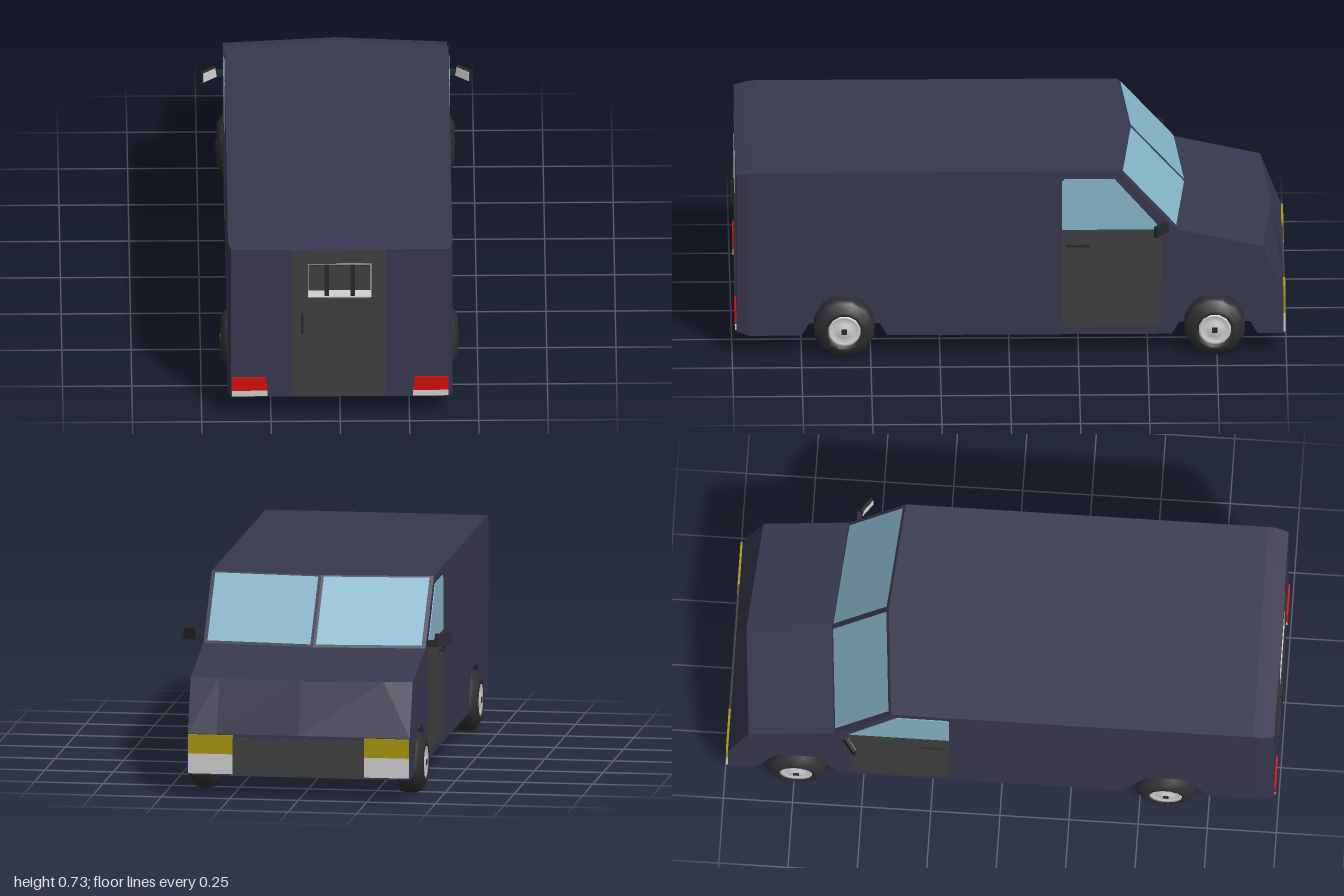
import * as THREE from 'three';

const mat = (name, color) => {
  const m = new THREE.MeshStandardMaterial({ color });
  m.name = name;
  return m;
};

// Closed outline from [a, b] pairs
const outline = (pts) => new THREE.Shape(pts.map(([a, b]) => new THREE.Vector2(a, b)));

const rect = (x0, y0, x1, y1) => [[x0, y0], [x1, y0], [x1, y1], [x0, y1]];

// Outline in x, y pushed along z from z0 to z1
function slabZ(pts, z0, z1, hole, steps = 1) {
  const s = outline(pts);
  if (hole) s.holes.push(outline(hole));
  const g = new THREE.ExtrudeGeometry(s, { depth: z1 - z0, bevelEnabled: false, steps });
  return g.translate(0, 0, z0);
}

// Outline in z, y pushed along x from x0 to x1
function slabX(pts, x0, x1, steps = 1) {
  const g = slabZ(pts.map(([z, y]) => [-z, y]), 0, x1 - x0, null, steps);
  return g.rotateY(Math.PI / 2).translate(x0, 0, 0);
}

function box(x0, x1, y0, y1, z0, z1) {
  return new THREE.BoxGeometry(x1 - x0, y1 - y0, z1 - z0)
    .translate((x0 + x1) / 2, (y0 + y1) / 2, (z0 + z1) / 2);
}

// Reshape a geometry by a rule on each vertex, then refresh the normals
function reshape(g, rule) {
  const p = g.attributes.position, v = new THREE.Vector3();
  for (let i = 0; i < p.count; i++) {
    rule(v.fromBufferAttribute(p, i));
    p.setXYZ(i, v.x, v.y, v.z);
  }
  g.computeVertexNormals();
  return g;
}

// Mirrored copy across x = 0 with the corner order restored
function mirrored(geo) {
  const g = geo.index ? geo.toNonIndexed() : geo.clone();
  g.scale(-1, 1, 1);
  for (const key of ['position', 'normal']) {
    const a = g.attributes[key], p = new THREE.Vector3(), q = new THREE.Vector3();
    for (let i = 0; i < a.count; i += 3) {
      p.fromBufferAttribute(a, i);
      q.fromBufferAttribute(a, i + 2);
      a.setXYZ(i, q.x, q.y, q.z);
      a.setXYZ(i + 2, p.x, p.y, p.z);
    }
  }
  return g;
}

export function createModel() {
  const van = new THREE.Group();
  van.name = 'van';
  const navy = mat('navy paint', 0x38384f);
  const grey = mat('door grey', 0x404041);
  const black = mat('trim black', 0x28282a);
  const tyreMat = mat('tyre rubber', 0x2e2e30);
  const glass = mat('window glass', 0x86b5ca);
  const red = mat('tail light red', 0xd40e0e);
  const yellow = mat('indicator yellow', 0xa8960a);
  const white = mat('light grey', 0xd0d0d0);

  const add = (name, g, m) => {
    const mesh = new THREE.Mesh(g, m);
    mesh.name = name;
    van.add(mesh);
  };
  const addPair = (name, g, m) => {
    add(name + 'Left', g, m);
    add(name + 'Right', mirrored(g), m);
  };

  // Body: solid core plus side slabs with wheel arches; front swept to a shallow V
  const W = 0.405, B = 0.085;
  const upper = [[-0.99, B], [-0.99, 0.235], [-0.915, 0.43], [-0.605, 0.5],
    [-0.4, 0.73], [0.91, 0.73], [0.94, 0.726]];
  const arch = (z) => [[z + 0.155, B], [z + 0.07, 0.235], [z - 0.07, 0.235], [z - 0.155, B]];
  const axles = [0.595, -0.742];
  const sweep = (v) => {
    if (v.z < -0.35 && v.y > 0.4) v.z -= 0.035 * (1 - Math.abs(v.x) / W);
  };
  add('bodyCore', reshape(slabX([[0.94, B], ...upper], -0.3, 0.3, 2), sweep), navy);
  const sidePts = [[0.94, B], ...arch(axles[0]), ...arch(axles[1]), ...upper];
  addPair('bodySide', reshape(slabX(sidePts, 0.3, W), sweep), navy);

  // Rear wall with bevelled rim and window opening
  const opening = rect(-0.117, 0.518, 0.112, 0.66);
  add('rearWall', reshape(slabZ(rect(-W, B, W, 0.726), 0.94, 0.985, opening), (v) => {
    if (v.z < 0.98) return;
    if (Math.abs(v.x) > 0.4) v.x *= 0.972;
    if (v.y < 0.1) v.y = 0.097;
    if (v.y > 0.7) v.y = 0.718;
  }), navy);

  // Rear door, barred window and handle
  const door = [[-0.155, 0.1], [0.15, 0.1], [0.162, 0.108], [0.167, 0.125],
    [0.167, 0.717], [-0.173, 0.717], [-0.173, 0.125], [-0.167, 0.108]];
  add('rearDoor', slabZ(door, 0.984, 0.988, opening), grey);
  add('rearWindowLining',
    slabZ(opening, 0.942, 0.989, rect(-0.114, 0.521, 0.109, 0.657)), white);
  add('rearWindowBack', box(-0.117, 0.112, 0.518, 0.66, 0.938, 0.944), grey);
  for (const x of [-0.049, 0.045]) {
    add('windowBar', box(x - 0.008, x + 0.008, 0.519, 0.659, 0.968, 0.984), black);
  }
  add('rearHandleGrip', box(-0.141, -0.132, 0.37, 0.455, 0.994, 1.0), black);
  for (const y of [0.37, 0.447]) {
    add('rearHandlePost', box(-0.141, -0.132, y, y + 0.008, 0.986, 0.996), black);
  }

  // Tail lights
  addPair('tailLight',
    slabZ([[0.262, 0.126], [0.39, 0.126], [0.39, 0.18], [0.27, 0.18]], 0.984, 0.991), red);
  addPair('reverseLight', box(0.262, 0.39, 0.102, 0.126, 0.984, 0.99), white);

  // Nose: indicators, headlights and grille
  addPair('indicator', box(0.24, 0.402, 0.163, 0.232, -0.998, -0.989), yellow);
  addPair('headlight', box(0.24, 0.402, 0.09, 0.163, -0.998, -0.989), white);
  add('grille', box(-0.24, 0.24, 0.09, 0.222, -0.995, -0.989), grey);

  // Split windscreen on the swept front
  const onScreen = (u, t) => [W * u, 0.73 - 0.23 * t + 0.003,
    -0.435 + 0.035 * u - 0.205 * t - 0.003];
  const pane = new THREE.BufferGeometry();
  const [a, b, c, d] = [[0.025, 0.03], [0.965, 0.03], [0.965, 0.97], [0.025, 0.97]]
    .map(([u, t]) => onScreen(u, t));
  pane.setAttribute('position',
    new THREE.Float32BufferAttribute([a, b, c, a, c, d].flat(), 3));
  pane.computeVertexNormals();
  addPair('windscreen', pane, glass);

  // Cab doors, side windows and door handles
  addPair('cabDoor', slabX([[-0.19, 0.13], [-0.205, 0.115], [-0.53, 0.115], [-0.543, 0.13],
    [-0.555, 0.497], [-0.19, 0.497]], 0.404, 0.407), grey);
  addPair('sideWindow', slabX([[-0.19, 0.5], [-0.55, 0.5], [-0.38, 0.7], [-0.2, 0.7],
    [-0.19, 0.69]], 0.404, 0.408), glass);
  addPair('doorHandleGrip', box(0.415, 0.421, 0.436, 0.444, -0.29, -0.205), black);
  for (const z of [-0.29, -0.213]) {
    addPair('doorHandlePost', box(0.404, 0.418, 0.436, 0.444, z, z + 0.008), black);
  }

  // Wing mirrors, angled back and outward
  const place = (g) => g.rotateY(-0.63).translate(0.43, 0, -0.565);
  const head = [[0, 0.503], [0.068, 0.5], [0.068, 0.543], [0.008, 0.547]];
  addPair('mirrorArm', box(0.4, 0.44, 0.502, 0.524, -0.577, -0.563), black);
  addPair('mirrorHead', place(slabZ(head, -0.008, 0.004)), black);
  addPair('mirrorGlass', place(slabZ(
    [[0.004, 0.506], [0.064, 0.503], [0.064, 0.54], [0.011, 0.543]], 0.003, 0.006)), white);

  // Wheels: twelve-sided tyre, dished hub and axle cap
  const turned = (pts, sides) => new THREE.LatheGeometry(
    pts.map(([r, x]) => new THREE.Vector2(r, x)), sides)
    .rotateY(Math.PI / sides).rotateZ(-Math.PI / 2);
  const tyre = turned([[0.001, 0.325], [0.072, 0.325], [0.108, 0.338], [0.112, 0.36],
    [0.112, 0.395], [0.105, 0.412], [0.076, 0.429], [0.062, 0.429], [0.058, 0.418],
    [0.001, 0.418]], 12);
  const hub = turned([[0.06, 0.417], [0.058, 0.428], [0.05, 0.425], [0.034, 0.421],
    [0.026, 0.428], [0.001, 0.43]], 24);
  for (const z of axles) {
    addPair('tyre', tyre.clone().translate(0, 0.109, z), tyreMat);
    addPair('hub', hub.clone().translate(0, 0.109, z), white);
    addPair('axleCap', box(0.425, 0.432, 0.099, 0.119, z - 0.01, z + 0.01), black);
  }
  return van;
}
